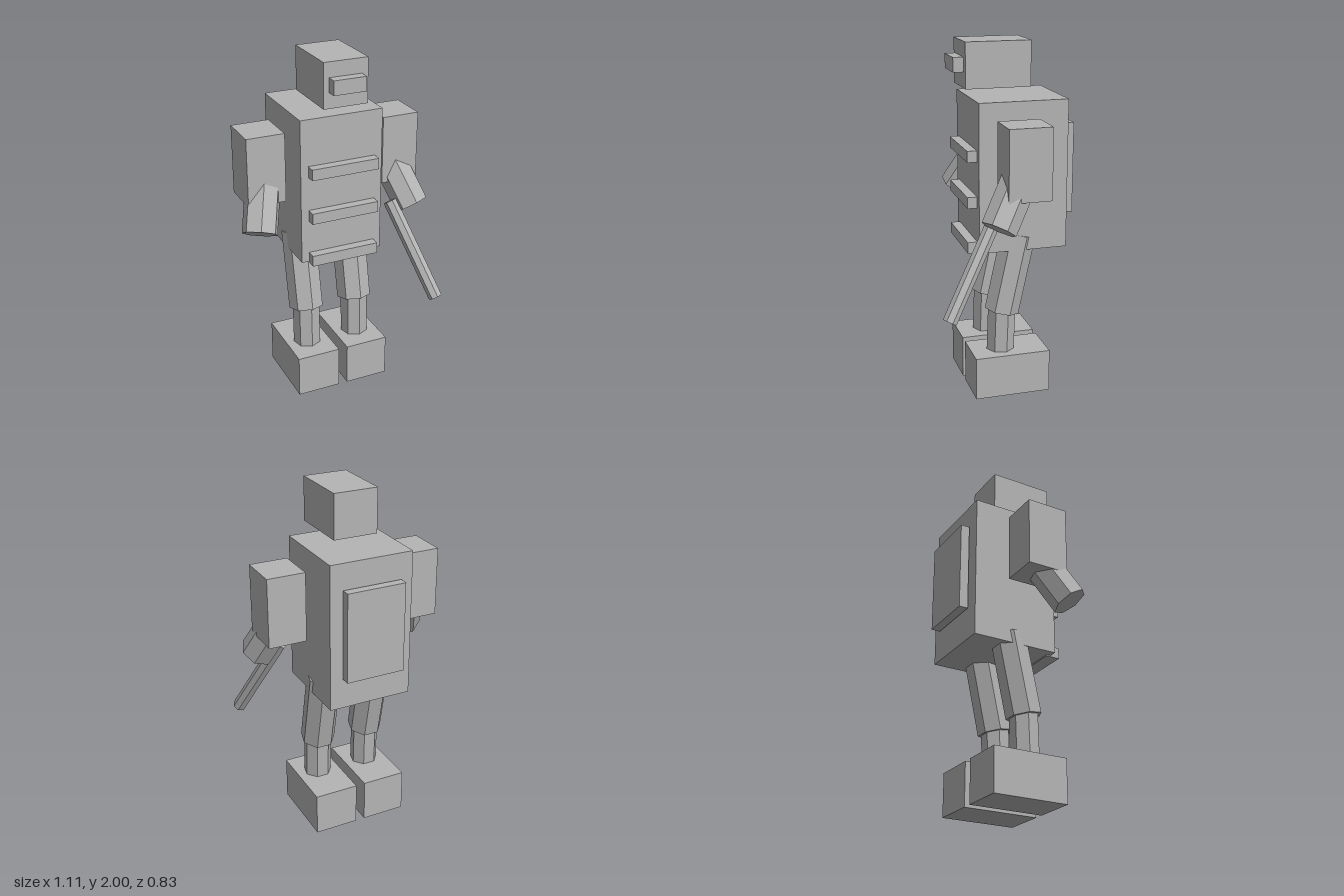
import * as THREE from 'three';

export function createModel() {
  const model = new THREE.Group();
  model.name = 'blockRobot';
  const grey = new THREE.MeshStandardMaterial({ color: 0xb4b4b4, flatShading: true });
  grey.name = 'plain grey';
  const CX = -0.007; // the body's middle plane

  const add = (name, geometry) => {
    const mesh = new THREE.Mesh(geometry, grey);
    mesh.name = name;
    model.add(mesh);
    return mesh;
  };

  // Box given by its limits on each axis
  const block = (name, x0, x1, y0, y1, z0, z1) => {
    add(name, new THREE.BoxGeometry(x1 - x0, y1 - y0, z1 - z0))
      .position.set((x0 + x1) / 2, (y0 + y1) / 2, (z0 + z1) / 2);
  };

  // Seven-sided rod between two points, with one ridge turned towards "ridge"
  const rod = (name, top, bottom, radius, ridge = [0, 0, 1]) => {
    const a = new THREE.Vector3(...top);
    const b = new THREE.Vector3(...bottom);
    const y = a.clone().sub(b).normalize();
    const x = y.clone().cross(new THREE.Vector3(...ridge)).normalize();
    const z = x.clone().cross(y);
    const mesh = add(name, new THREE.CylinderGeometry(radius, radius, a.distanceTo(b), 7));
    mesh.quaternion.setFromRotationMatrix(new THREE.Matrix4().makeBasis(x, y, z));
    mesh.position.copy(a).add(b).multiplyScalar(0.5);
  };

  // Head and visor
  block('head', -0.132, 0.122, 1.75, 2.0, -0.177, 0.188);
  block('visor', -0.101, 0.086, 1.837, 1.917, 0.15, 0.247);

  // Torso, chest bars and backpack
  block('torso', -0.248, 0.234, 0.86, 1.693, -0.356, 0.146);
  for (let i = 0; i < 3; i++) {
    const y = 1.367 - i * 0.257;
    block('chestBar', -0.204, 0.191, y, y + 0.063, 0.12, 0.2);
  }
  block('backpack', -0.177, 0.163, 1.037, 1.548, -0.415, -0.364);

  // Arms and legs
  for (const [side, s] of [['left', 1], ['right', -1]]) {
    const at = (d) => CX + s * d;
    const span = (d0, d1) => [at(d0), at(d1)].sort((p, q) => p - q);

    block(side + 'UpperArm', ...span(0.293, 0.51), 1.211, 1.603, -0.177, 0.06);
    const hand = [at(0.466), 1.065, 0.102];
    const elbow = [hand[0] - s * 0.077, hand[1] + 0.234, hand[2] - 0.133];
    rod(side + 'Forearm', elbow, hand, 0.1, s > 0 ? [0.066, 0.053, 0.055] : [-0.087, 0.043, 0.025]);

    rod(side + 'Thigh', [at(0.155), 0.94, -0.103], [at(0.155), 0.483, -0.005], 0.1);
    rod(side + 'Shin', [at(0.155), 0.56, -0.008], [at(0.155), 0.15, 0.005], 0.08);
    block(side + 'Foot', ...span(0.027, 0.282), 0, 0.248, -0.257, 0.178);
  }

  // Baton hanging by the left hand
  rod('baton', [0.332, 1.1, 0.08], [0.485, 0.585, 0.378], 0.04);

  return model;
}
